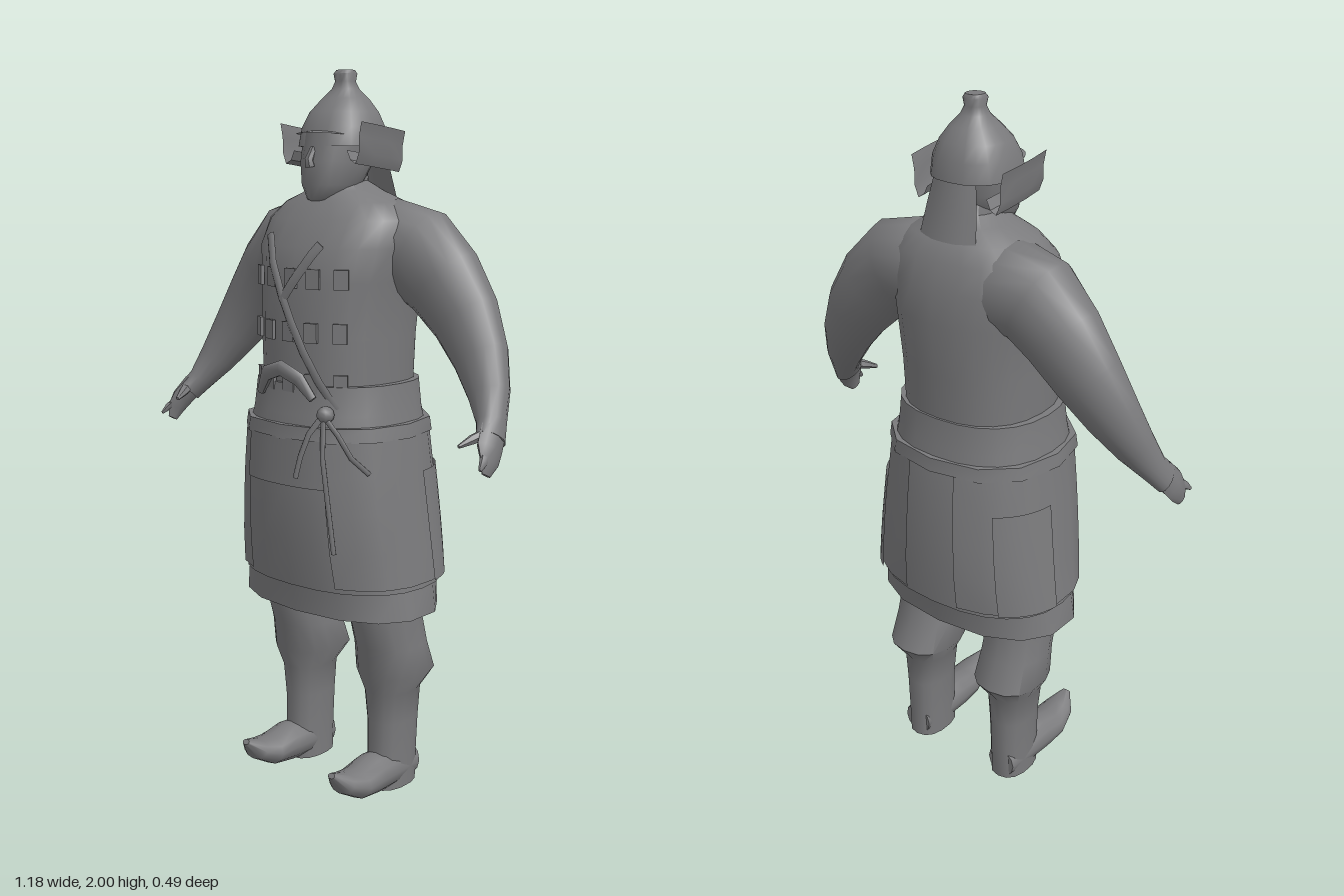
import * as THREE from 'three';
import { toCreasedNormals } from 'three/addons/utils/BufferGeometryUtils.js';

const grey = new THREE.MeshStandardMaterial({ color: 0x7a7a7c, side: THREE.DoubleSide });
grey.name = 'grey';

// Surface grid from fn(u, v) -> [x, y, z]; mirror -1 flips it across x.
function surface(fn, nu, nv, closed, mirror = 1, crease = 0.9) {
  const pos = [], idx = [], w = closed ? nu : nu + 1;
  for (let j = 0; j <= nv; j++) for (let i = 0; i < w; i++) {
    const p = fn(i / nu, j);
    pos.push(p[0] * mirror, p[1], p[2]);
  }
  for (let j = 0; j < nv; j++) for (let i = 0; i < nu; i++) {
    const k = (i + 1) % w, a = j * w + i, b = j * w + k, c = b + w, d = a + w;
    if (mirror > 0) idx.push(a, b, c, a, c, d);
    else idx.push(a, c, b, a, d, c);
  }
  const g = new THREE.BufferGeometry();
  g.setAttribute('position', new THREE.Float32BufferAttribute(pos, 3));
  g.setIndex(idx);
  return toCreasedNormals(g, crease);
}

// Point on a horizontal section [y, halfWidth, zFront, zBack].
const pw = (t) => Math.sign(t) * Math.pow(Math.abs(t), 0.85);
function ringPoint([y, rx, zf, zb], a, off = 0) {
  return [(rx + off) * pw(Math.sin(a)), y, (zf + zb) / 2 + ((zf - zb) / 2 + off) * pw(Math.cos(a))];
}
function sectionAt(secs, y) {
  let i = 0;
  while (i < secs.length - 2 && secs[i + 1][0] < y) i++;
  const t = (y - secs[i][0]) / (secs[i + 1][0] - secs[i][0]);
  return secs[i].map((v, k) => v + (secs[i + 1][k] - v) * t);
}
// Body of stacked sections, bottom to top.
const stack = (secs, n = 20, dx = 0, mirror = 1) => surface((u, j) => {
  const p = ringPoint(secs[j], u * Math.PI * 2);
  return [p[0] + dx, p[1], p[2]];
}, n, secs.length - 1, true, mirror);
// Thin panel lying over a stacked body.
const patch = (secs, a0, a1, y0, y1, off, mirror = 1) => surface((u, j) =>
  ringPoint(sectionAt(secs, y0 + (y1 - y0) * j / 4), a0 + (a1 - a0) * u, off), 8, 4, false, mirror);
// Front surface depth of a body at x, y.
function frontZ(secs, x, y) {
  const [, rx, zf, zb] = sectionAt(secs, y);
  const s = Math.min(1, Math.pow(Math.abs(x) / rx, 1 / 0.85));
  return (zf + zb) / 2 + (zf - zb) / 2 * pw(Math.sqrt(1 - s * s));
}
// Limb along points [x, y, z, radiusA, radiusB], closed at both ends.
function limb(pts, n = 10, mirror = 1, ref = new THREE.Vector3(0, 0, 1)) {
  const P = [[...pts[0].slice(0, 3), 0, 0], ...pts, [...pts[pts.length - 1].slice(0, 3), 0, 0]];
  const frames = P.map((p, j) => {
    const a = pts[Math.max(0, Math.min(pts.length - 1, j - 1) - 1)];
    const b = pts[Math.min(pts.length - 1, Math.max(0, j - 1) + 1)];
    const t = new THREE.Vector3(b[0] - a[0], b[1] - a[1], b[2] - a[2]).normalize();
    const s = new THREE.Vector3().crossVectors(ref, t).normalize();
    return [s, new THREE.Vector3().crossVectors(t, s)];
  });
  return surface((u, j) => {
    const [s, b] = frames[j], p = P[j], c = Math.cos(u * Math.PI * 2) * p[3], d = Math.sin(u * Math.PI * 2) * p[4];
    return [p[0] + s.x * c + b.x * d, p[1] + s.y * c + b.y * d, p[2] + s.z * c + b.z * d];
  }, n, P.length - 1, true, mirror);
}

const TORSO = [[1.1, 0.2, 0.19, -0.19], [1.3, 0.205, 0.195, -0.2], [1.45, 0.215, 0.185, -0.212], [1.54, 0.235, 0.17, -0.205],
  [1.61, 0.23, 0.125, -0.185], [1.655, 0.175, 0.1, -0.16], [1.685, 0.1, 0.07, -0.125], [1.71, 0.06, 0.045, -0.09], [1.78, 0.055, 0.04, -0.08]];
const SKIRT = [[0.62, 0.295, 0.2, -0.23], [0.75, 0.278, 0.22, -0.238], [0.9, 0.26, 0.228, -0.232], [1.04, 0.243, 0.225, -0.22],
  [1.1, 0.23, 0.212, -0.208], [1.18, 0.222, 0.202, -0.2], [1.181, 0.18, 0.16, -0.16]];
const HEM = [[0.56, 0.001, 0, -0.002], [0.54, 0.305, 0.182, -0.205], [0.645, 0.285, 0.195, -0.225]];
const BELT = [[1.035, 0.235, 0.21, -0.21], [1.036, 0.26, 0.238, -0.232], [1.074, 0.254, 0.234, -0.228], [1.075, 0.225, 0.2, -0.2]];
const HEAD = [[1.65, 0.01, 0.085, 0.03], [1.662, 0.042, 0.105, -0.01], [1.7, 0.07, 0.112, -0.06], [1.76, 0.082, 0.112, -0.1], [1.84, 0.085, 0.095, -0.11]];
const HELMET = [[1.805, 0.09, 0.075, -0.11], [1.8, 0.113, 0.1, -0.135], [1.85, 0.106, 0.09, -0.13], [1.89, 0.088, 0.068, -0.113], [1.925, 0.06, 0.035, -0.09],
  [1.95, 0.036, 0.008, -0.064], [1.97, 0.026, 0, -0.055], [1.99, 0.03, 0.004, -0.058], [2, 0.024, -0.004, -0.052], [2, 0.001, -0.027, -0.029]];

export function createModel() {
  const root = new THREE.Group();
  root.name = 'armouredWarrior';
  const add = (name, geo) => {
    const m = new THREE.Mesh(geo, grey);
    m.name = name;
    root.add(m);
    return m;
  };
  add('torso', stack(TORSO, 24));
  add('head', stack(HEAD, 18));
  add('nose', limb([[0, 1.795, 0.1, 0.008, 0.01], [0, 1.765, 0.118, 0.012, 0.012], [0, 1.748, 0.114, 0.016, 0.012]], 6));
  add('helmet', stack(HELMET, 20));
  add('skirt', stack(SKIRT, 24));
  add('skirtHem', stack(HEM, 14));
  add('belt', stack(BELT, 12));

  // Visor crescent and neck guard
  add('visor', surface((u, j) => {
    const a = (u - 0.5) * 2.1, r = 0.085 + j * 0.022;
    return [r * Math.sin(a) * 0.85, 1.835 - j * 0.008 + 0.008 * Math.cos(a), -0.01 + r * Math.cos(a) * (1 + 0.15 * j) + j * 0.02];
  }, 10, 1, false));
  const guard = [[1.655, 0.09, -0.162], [1.73, 0.08, -0.145], [1.83, 0.062, -0.125]];
  add('neckGuard', surface((u, j) => {
    const [y, w, z] = guard[j], t = u * 2 - 1;
    return [-w * t, y, z + 0.02 * t * t];
  }, 6, 2, false));

  // Front skirt panels
  add('frontPanel', patch(SKIRT, -0.5, 0.5, 0.91, 1.04, 0.01));

  for (const s of [1, -1]) {
    const side = s > 0 ? 'left' : 'right';
    add(side + 'SkirtPanel', patch(SKIRT, 0.47, 2.9, 0.635, 1.04, 0.008, s));
    add(side + 'BackPanel', patch(SKIRT, 1.7, 2.45, 0.635, 0.94, 0.014, s));

    // Arm, hand and fingers
    add(side + 'Arm', limb([[0.08, 1.53, -0.055, 0.11, 0.12], [0.15, 1.535, -0.06, 0.13, 0.12], [0.23, 1.52, -0.065, 0.128, 0.105],
      [0.31, 1.45, -0.07, 0.115, 0.092], [0.385, 1.36, -0.066, 0.098, 0.08], [0.45, 1.265, -0.045, 0.078, 0.066],
      [0.5, 1.18, -0.012, 0.057, 0.052], [0.535, 1.115, 0.025, 0.036, 0.042], [0.555, 1.08, 0.055, 0.028, 0.045]], 16, s));
    add(side + 'Hand', limb([[0.55, 1.1, 0.04, 0.026, 0.042], [0.566, 1.06, 0.075, 0.02, 0.045], [0.577, 1.03, 0.09, 0.014, 0.036],
      [0.578, 1.0, 0.105, 0.007, 0.018]], 8, s));
    add(side + 'Thumb', limb([[0.55, 1.1, 0.06, 0.014, 0.018], [0.532, 1.085, 0.1, 0.013, 0.014], [0.517, 1.07, 0.138, 0.005, 0.006]], 6, s));
    add(side + 'Finger', limb([[0.572, 1.05, 0.1, 0.011, 0.016], [0.58, 1.035, 0.122, 0.009, 0.011], [0.584, 1.02, 0.14, 0.004, 0.005]], 6, s));

    // Trouser leg and boot
    add(side + 'Leg', stack([[0, 0.055, 0.03, -0.13], [0.1, 0.056, 0.03, -0.133], [0.2, 0.06, 0.028, -0.135], [0.29, 0.068, 0.035, -0.138],
      [0.345, 0.1, 0.05, -0.178], [0.43, 0.094, 0.06, -0.145], [0.52, 0.09, 0.09, -0.125], [0.62, 0.09, 0.09, -0.12]], 14, 0.148, s)
      .translate(s * 0.012, 0, 0));
    add(side + 'Boot', limb([[0.163, 0.05, -0.12, 0.045, 0.05], [0.163, 0.055, -0.02, 0.058, 0.055], [0.165, 0.058, 0.05, 0.062, 0.056],
      [0.168, 0.055, 0.12, 0.06, 0.043], [0.168, 0.075, 0.175, 0.046, 0.03], [0.166, 0.11, 0.218, 0.012, 0.008]], 12, s,
      new THREE.Vector3(0, 1, 0)));

    // Curled cheek flap of the helmet
    const curl = [[0.1, 1.79], [0.112, 1.765], [0.13, 1.755], [0.142, 1.785], [0.142, 1.825], [0.15, 1.862]];
    add(side + 'HelmetFlap', surface((u, j) => {
      const [x, y] = curl[j];
      return [x - 0.012 * Math.abs(u - 0.5), y - 0.022 * (1 - u), -0.105 + u * 0.18];
    }, 3, 5, false, s, 0.6));
  }

  // Rows of small armour plates
  for (const y of [1.185, 1.32, 1.46]) for (const x of [-0.145, -0.073, 0, 0.073, 0.145]) {
    const plate = add('chestPlate', new THREE.BoxGeometry(0.038, 0.052, 0.01));
    plate.position.set(x, y, frontZ(TORSO, x, y) + 0.008);
    plate.rotation.y = x * 4;
  }

  // Crossed chest straps
  const strap = (name, x0, y0, x1, y1) => {
    const pts = [];
    for (let i = 0; i <= 6; i++) {
      const t = i / 6, x = x0 + (x1 - x0) * t, y = y0 + (y1 - y0) * t;
      pts.push([x, y, frontZ(TORSO, x, y) + 0.018, 0.014, 0.006]);
    }
    add(name, limb(pts, 6));
  };
  strap('longStrap', -0.105, 1.57, 0.14, 1.12);
  strap('shortStrap', 0.09, 1.55, -0.02, 1.4);

  // Bow knot and hanging cords
  add('bowLoop', limb([[-0.1, 1.15, 0.205, 0.012, 0.01], [-0.06, 1.205, 0.222, 0.022, 0.014], [0, 1.225, 0.23, 0.022, 0.014],
    [0.06, 1.2, 0.225, 0.02, 0.014], [0.1, 1.15, 0.215, 0.012, 0.01]], 7));
  add('bowKnot', new THREE.SphereGeometry(0.024, 8, 6)).position.set(0.13, 1.11, 0.2);
  const cords = [[[0.13, 1.12], [0.14, 1.0], [0.155, 0.88], [0.168, 0.74]], [[0.13, 1.11], [0.1, 1.06], [0.08, 1.0], [0.065, 0.94]],
    [[0.13, 1.11], [0.17, 1.06], [0.2, 1.0], [0.23, 0.955]]];
  for (const c of cords) {
    add('hangingCord', limb(c.map(([x, y]) => [x, y, frontZ(SKIRT, x, y) + 0.024, 0.009, 0.006]), 6));
  }
  return root;
}
